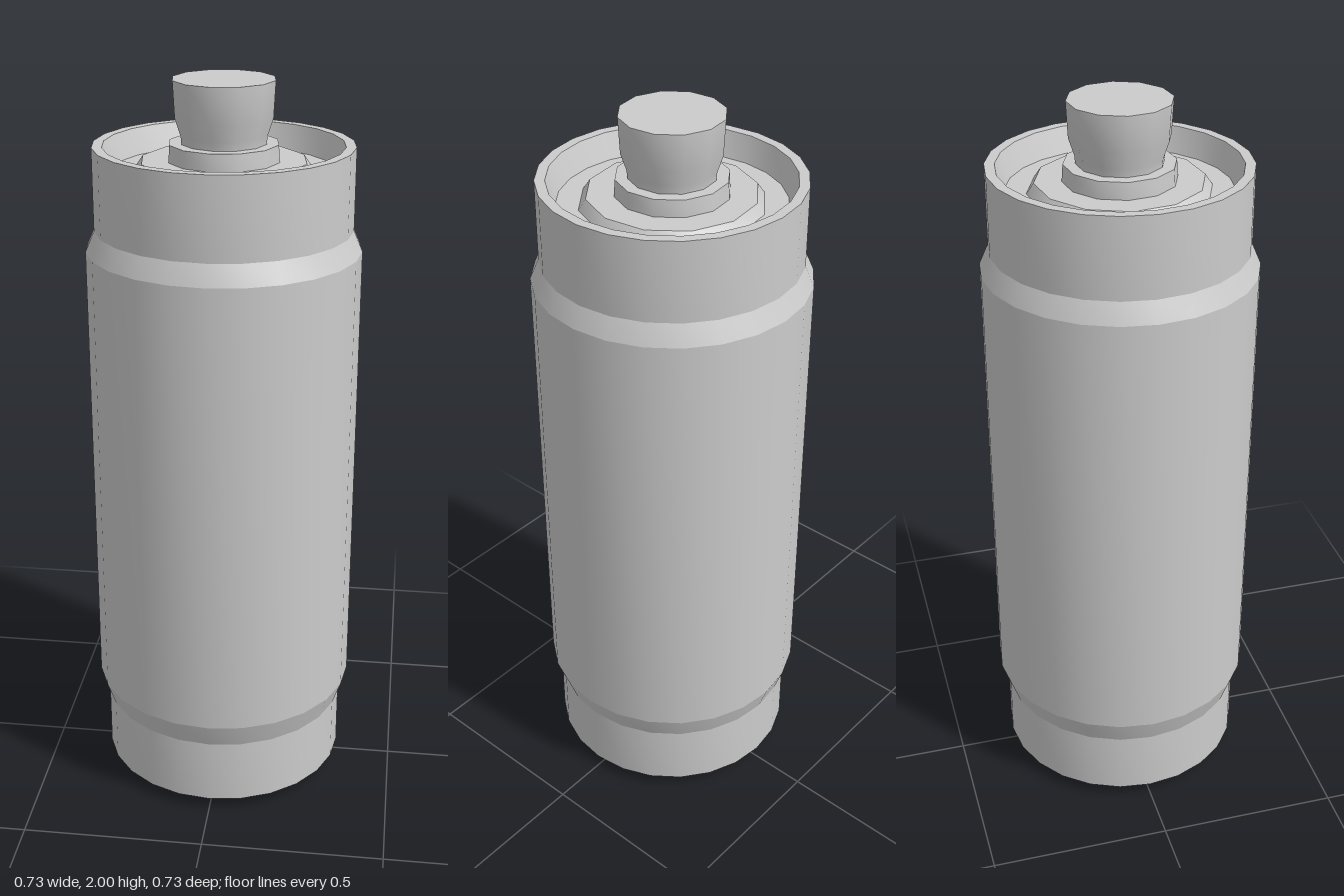
import * as THREE from 'three';
import { toCreasedNormals } from 'three/addons/utils/BufferGeometryUtils.js';

const material = new THREE.MeshStandardMaterial({ color: 0xcccccc });

// Turned part from [radius, height] points, listed bottom to top
function turned(name, profile, sides, startDeg, creaseDeg) {
  const points = profile.map(([r, y]) => new THREE.Vector2(r, y));
  const lathe = new THREE.LatheGeometry(points, sides, THREE.MathUtils.degToRad(startDeg));
  const mesh = new THREE.Mesh(toCreasedNormals(lathe, THREE.MathUtils.degToRad(creaseDeg)), material);
  mesh.name = name;
  return mesh;
}

export function createModel() {
  const model = new THREE.Group();
  model.name = 'canister';

  // Shell with stepped ends, bevelled middle, inner rims and recessed top floor
  model.add(turned('shell', [
    [0.293, 0.085], [0.315, 0.035], [0.342, 0.035], [0.342, 0.22],
    [0.366, 0.29], [0.366, 1.56], [0.342, 1.615], [0.342, 1.833],
    [0.315, 1.833], [0.293, 1.765], [0, 1.765],
  ], 24, 0, 17));

  // Domed base bulging just below the bottom rim
  model.add(turned('baseDome', [
    [0, 0], [0.1, 0.012], [0.2, 0.036], [0.25, 0.056], [0.293, 0.085],
  ], 24, 0, 30));

  // Raised disc on the top floor
  model.add(turned('topDisc', [
    [0.238, 1.765], [0.219, 1.793], [0, 1.793],
  ], 12, -7, 35));

  // Collar around the neck
  model.add(turned('collar', [
    [0.148, 1.793], [0.145, 1.838], [0, 1.838],
  ], 12, -7, 35));

  // Flared nozzle with a flat top
  model.add(turned('nozzle', [
    [0.113, 1.838], [0.115, 1.86], [0.13, 1.905], [0.135, 2], [0, 2],
  ], 12, -7, 35));

  return model;
}
